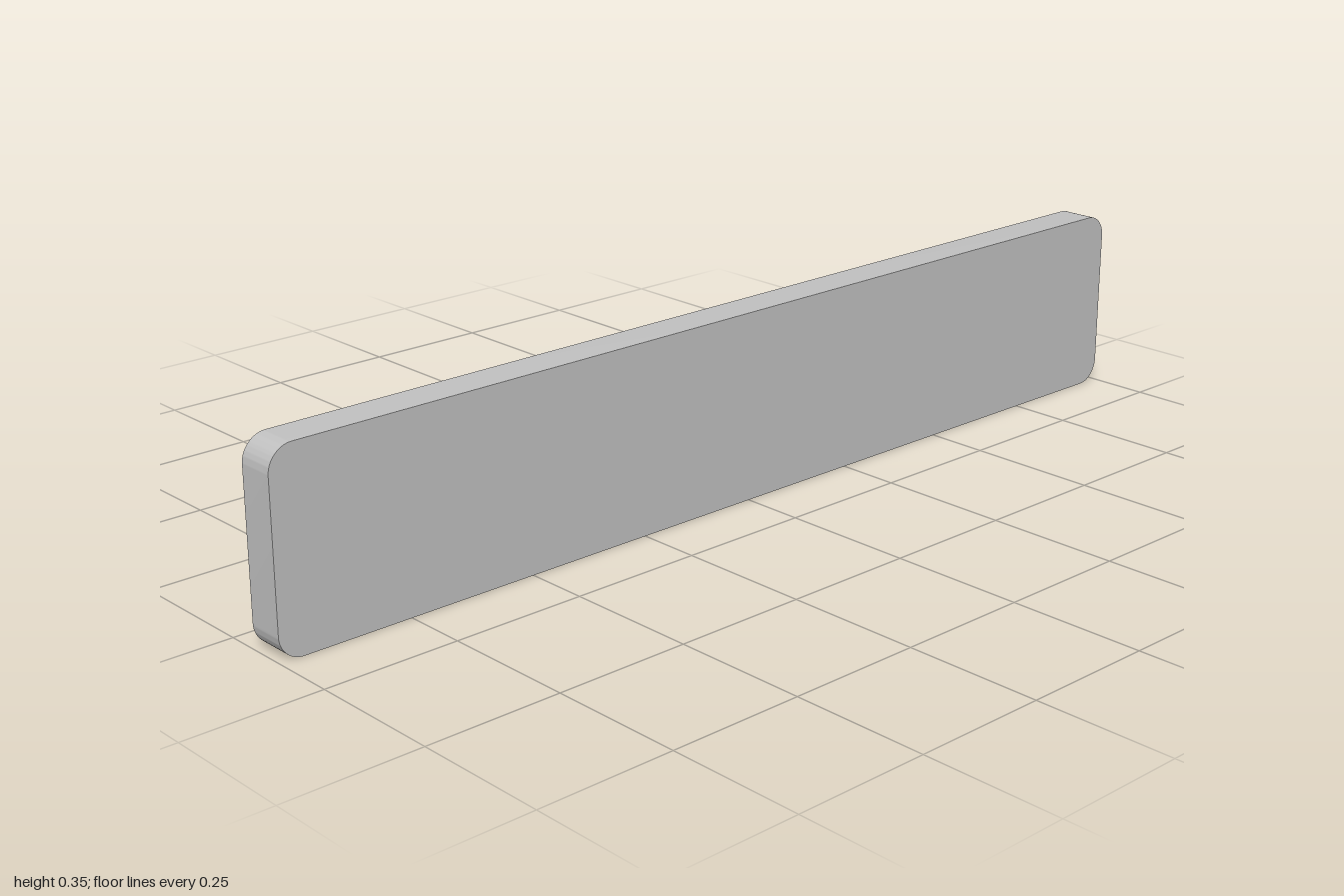
import * as THREE from 'three';
import { toCreasedNormals } from 'three/addons/utils/BufferGeometryUtils.js';

// Rounded rectangle in the xy plane, extruded from z0 to z1
function roundedPlate(x0, x1, y0, y1, z0, z1, r) {
  const s = new THREE.Shape();
  s.absarc(x1 - r, y0 + r, r, -Math.PI / 2, 0);
  s.absarc(x1 - r, y1 - r, r, 0, Math.PI / 2);
  s.absarc(x0 + r, y1 - r, r, Math.PI / 2, Math.PI);
  s.absarc(x0 + r, y0 + r, r, Math.PI, Math.PI * 1.5);
  s.closePath();
  const geo = new THREE.ExtrudeGeometry(s, { depth: z1 - z0, bevelEnabled: false, curveSegments: 12 });
  geo.translate(0, 0, z0);
  return toCreasedNormals(geo, 0.5);
}

export function createModel() {
  const group = new THREE.Group();
  const grey = new THREE.MeshStandardMaterial({ color: 0xc0c0c0 });
  grey.name = 'plain grey';

  const add = (name, geo) => {
    const mesh = new THREE.Mesh(geo, grey);
    mesh.name = name;
    group.add(mesh);
    return mesh;
  };

  // Long front bar
  add('bar', roundedPlate(-1, 1, 0, 0.353, 0.061, 0.132, 0.045));

  // Mounting plate on the back, flush with the left end
  add('mountingPlate', roundedPlate(0.383, 0.998, 0.035, 0.32, 0.037, 0.061, 0.045));

  // Round peg standing out of the plate
  const peg = add('peg', new THREE.CylinderGeometry(0.071, 0.071, 0.168, 48));
  peg.rotation.x = Math.PI / 2;
  peg.position.set(0.664, 0.191, -0.047);

  return group;
}
